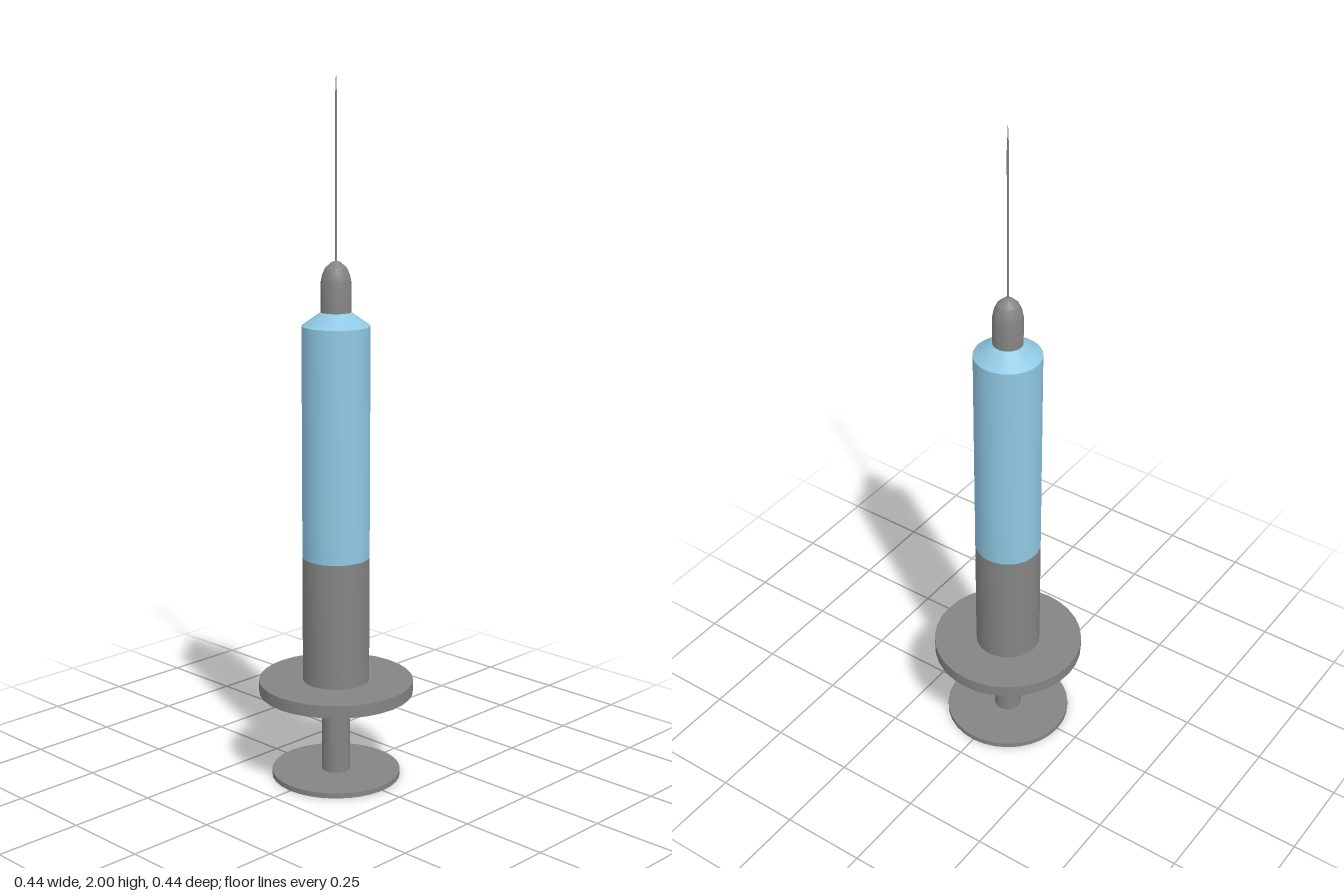
import * as THREE from 'three';
import { toCreasedNormals } from 'three/addons/utils/BufferGeometryUtils.js';

const darkGrey = new THREE.MeshStandardMaterial({ color: 0x848484 });
const blue = new THREE.MeshStandardMaterial({ color: 0x8fc8e2 });

// Turn a [radius, height] profile, listed bottom to top on its outer side
function turned(name, profile, material = darkGrey) {
  const points = profile.map(([r, y]) => new THREE.Vector2(r, y));
  const geometry = toCreasedNormals(new THREE.LatheGeometry(points, 32), 0.35);
  const mesh = new THREE.Mesh(geometry, material);
  mesh.name = name;
  return mesh;
}

export function createModel() {
  const model = new THREE.Group();
  model.name = 'syringe';

  model.add(
    // Thumb disc and rod in one piece, the rod running up inside the barrel
    turned('plunger', [[0, 0], [0.185, 0], [0.185, 0.015], [0.04, 0.015], [0.04, 0.645]]),

    // Finger flange and lower barrel, bored out for the plunger
    turned('flangeAndLowerBarrel', [
      [0, 0.645], [0.053, 0.645], [0.053, 0.252],
      [0.221, 0.252], [0.221, 0.288], [0.095, 0.288], [0.095, 0.652],
    ]),

    // Filled upper barrel with its sloping shoulder
    turned('filledBarrel', [[0.095, 0.652], [0.095, 1.311], [0.04, 1.35], [0, 1.35]], blue),

    // Rounded hub that holds the needle
    turned('needleHub', [
      [0, 1.345], [0.042, 1.345], [0.042, 1.432], [0.038, 1.452],
      [0.03, 1.47], [0.013, 1.486], [0, 1.49],
    ]),

    // Needle with a long ground point
    turned('needle', [[0.003, 1.485], [0.003, 1.92], [0, 2]]),
  );
  return model;
}
